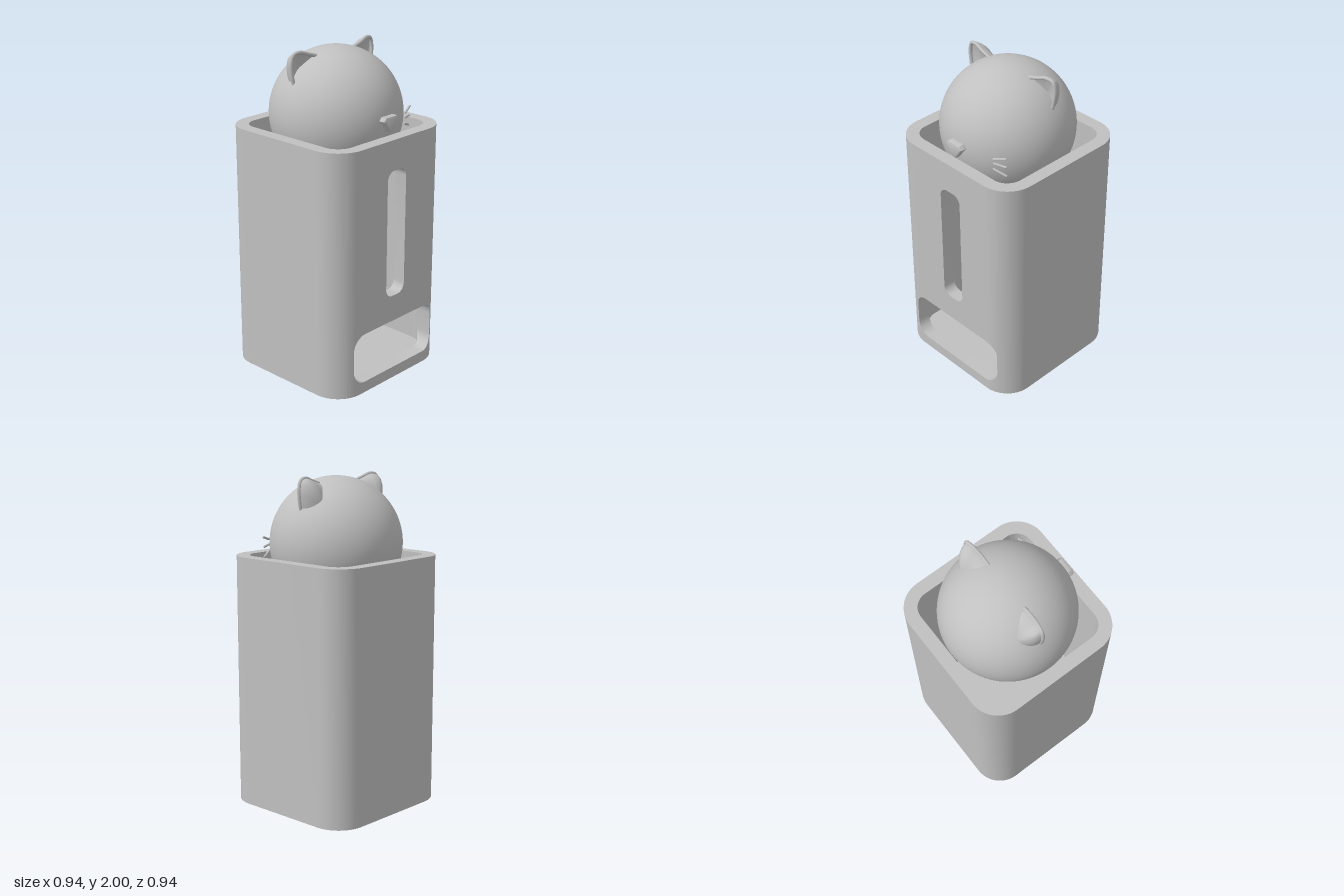
import * as THREE from 'three';
import { toCreasedNormals } from 'three/addons/utils/BufferGeometryUtils.js';

const H = 1.52, FLOOR = 0.07, CUT = 0.38;
const OUT = { half: 0.4725, r: 0.18 }, INN = { half: 0.393, r: 0.1 };
const HEAD = { y: 1.592, r: 0.397 };
const bin = { cx: 0.015, w: 0.71, y0: FLOOR, y1: 0.385, r: 0.09 };
const slot = { cx: 0.01, w: 0.16, y0: 0.55, y1: 1.335, r: 0.055 };

// Rounded square outline, open at the front between x = -cut and +cut
function outline({ half, r }, cut) {
  const c = half - r, a = Math.acos((cut - c) / r), pts = [];
  const corners = [[1, -1, -a, 0], [1, 1, 0, Math.PI / 2], [-1, 1, Math.PI / 2, Math.PI], [-1, -1, Math.PI, Math.PI + a]];
  for (const [sx, sy, a0, a1] of corners)
    for (let i = 0; i <= 12; i++) {
      const t = a0 + (a1 - a0) * i / 12;
      pts.push(new THREE.Vector2(sx * c + r * Math.cos(t), sy * c + r * Math.sin(t)));
    }
  return pts;
}

// Upright prism standing on y = 0
function prism(pts, height) {
  const g = new THREE.ExtrudeGeometry(new THREE.Shape(pts), { depth: height, bevelEnabled: false });
  return toCreasedNormals(g.rotateX(-Math.PI / 2), 0.5);
}

function depthAt(x, { half, r }) {
  const d = Math.abs(x) - (half - r);
  return d <= 0 ? half : half - r + Math.sqrt(r * r - d * d);
}

// Lower and upper edge of an opening at x
function gap(x, h) {
  const d = Math.min(h.r, Math.max(0, Math.abs(x - h.cx) - (h.w / 2 - h.r)));
  const inset = h.r - Math.sqrt(h.r * h.r - d * d);
  return [h.y0 + inset, h.y1 - inset];
}

function geometryFromQuads(quads) {
  const pos = [];
  for (const [a, b, c, d] of quads) pos.push(...a, ...b, ...c, ...a, ...c, ...d);
  const g = new THREE.BufferGeometry();
  g.setAttribute('position', new THREE.Float32BufferAttribute(pos, 3));
  return toCreasedNormals(g, 0.5);
}

// Front wall built in vertical strips around the two openings
function frontWall() {
  const o = (x, y) => [x, y, depthAt(x, OUT)], n = (x, y) => [x, y, depthAt(x, INN)];
  const quads = [], xs = [-CUT, CUT, 0];
  for (let x = 0.29; x < CUT; x += 0.01) xs.push(x, -x);
  for (const h of [bin, slot])
    for (let i = 0; i <= 8; i++) {
      const d = h.w / 2 - h.r + h.r * Math.sin(i / 8 * Math.PI / 2);
      xs.push(h.cx - d, h.cx + d);
    }
  xs.sort((a, b) => a - b);
  for (let i = 1; i < xs.length; i++) {
    const p = xs[i - 1], q = xs[i];
    if (q - p < 1e-6) continue;
    const edgesP = [0], edgesQ = [0];
    for (const h of [bin, slot])
      if (Math.abs((p + q) / 2 - h.cx) < h.w / 2) {
        edgesP.push(...gap(p, h));
        edgesQ.push(...gap(q, h));
      } else {
        const mid = (h.y0 + h.y1) / 2;
        edgesP.push(mid, mid);
        edgesQ.push(mid, mid);
      }
    edgesP.push(H);
    edgesQ.push(H);
    for (let k = 0; k < 6; k += 2) {
      const pl = edgesP[k], ph = edgesP[k + 1], ql = edgesQ[k], qh = edgesQ[k + 1];
      quads.push([o(p, pl), o(q, ql), o(q, qh), o(p, ph)], [n(q, ql), n(p, pl), n(p, ph), n(q, qh)]);
      if (k === 4 || edgesP[k + 2] > ph) quads.push([o(p, ph), o(q, qh), n(q, qh), n(p, ph)]);
      if (k === 0 || edgesP[k - 1] < pl) quads.push([n(p, pl), n(q, ql), o(q, ql), o(p, pl)]);
    }
  }
  // Upright sides of the openings
  for (const h of [bin, slot]) {
    const l = h.cx - h.w / 2, r = h.cx + h.w / 2, a = h.y0 + h.r, b = h.y1 - h.r;
    quads.push([o(l, a), n(l, a), n(l, b), o(l, b)], [n(r, a), o(r, a), o(r, b), n(r, b)]);
  }
  return geometryFromQuads(quads);
}

// Ear shell: outline shrinking to a centre, with a hollow front and a bulging back
function earParts() {
  const curve = new THREE.CatmullRomCurve3([[0.315, 1.78], [0.333, 1.86], [0.338, 1.93], [0.323, 1.977], [0.28, 1.988],
    [0.22, 1.97], [0.14, 1.945]].map(([x, y]) => new THREE.Vector3(x, y, -0.008 - 0.02 * Math.max(0, (x - 0.2) / 0.14))));
  const rim = curve.getPoints(36), quads = [];
  const at = (i, t, bulge) => {
    const p = rim[i], k = Math.cos(t * Math.PI / 2);
    return [0.2 + (p.x - 0.2) * k, 1.8 + (p.y - 1.8) * k, p.z - bulge * Math.sin(t * Math.PI / 2)];
  };
  for (let i = 0; i < 36; i++)
    for (let j = 0; j < 10; j++) {
      const t = j / 10, u = (j + 1) / 10;
      for (const bulge of [0.025, 0.11])
        quads.push([at(i, t, bulge), at(i + 1, t, bulge), at(i + 1, u, bulge), at(i, u, bulge)]);
    }
  return [geometryFromQuads(quads), new THREE.TubeGeometry(curve, 40, 0.011, 10)];
}

export function createModel() {
  const model = new THREE.Group();
  const grey = new THREE.MeshStandardMaterial({ color: 0xc0c0c0, side: THREE.DoubleSide });
  grey.name = 'plainGrey';
  const add = (name, geometry, parent = model) => {
    const m = new THREE.Mesh(geometry, grey);
    m.name = name;
    parent.add(m);
    return m;
  };

  // Container
  add('sideAndBackWalls', prism([...outline(OUT, CUT), ...outline(INN, CUT).reverse()], H));
  add('frontWall', frontWall());
  add('floor', prism(outline(INN, INN.half - INN.r), FLOOR));

  // Head, cut flat underneath
  const cutY = 1.38, theta = Math.acos((cutY - HEAD.y) / HEAD.r);
  add('head', new THREE.SphereGeometry(HEAD.r, 80, 48, 0, Math.PI * 2, 0, theta)).position.y = HEAD.y;
  const base = add('headBase', new THREE.CircleGeometry(HEAD.r * Math.sin(theta), 80));
  base.rotation.x = Math.PI / 2;
  base.position.y = cutY;

  // Ears
  const [shell, rim] = earParts();
  for (const side of [1, -1]) {
    const ear = new THREE.Group();
    ear.name = side > 0 ? 'leftEar' : 'rightEar';
    add('earShell', shell, ear);
    add('earRim', rim, ear);
    ear.scale.x = side;
    model.add(ear);
  }

  // Nose
  const tri = new THREE.Shape();
  tri.moveTo(-0.036, 1.632);
  tri.lineTo(-0.046, 1.62);
  tri.lineTo(-0.002, 1.56);
  tri.lineTo(0.012, 1.56);
  tri.lineTo(0.056, 1.62);
  tri.lineTo(0.046, 1.632);
  const nose = new THREE.ExtrudeGeometry(tri, { depth: 0.05, bevelThickness: 0.01, bevelSize: 0.01, bevelSegments: 4 });
  add('nose', toCreasedNormals(nose, 0.6)).position.z = 0.37;

  // Whiskers on the left cheek
  const whiskers = [[0.232, 1.603, 0.338, 0.3, 1.623, 0.312], [0.232, 1.573, 0.335, 0.298, 1.566, 0.308],
    [0.23, 1.535, 0.335, 0.298, 1.508, 0.305]];
  for (const [ax, ay, az, bx, by, bz] of whiskers) {
    const a = new THREE.Vector3(ax, ay, az), b = new THREE.Vector3(bx, by, bz), d = b.clone().sub(a);
    const w = add('whisker', new THREE.CapsuleGeometry(0.007, d.length(), 6, 12));
    w.position.copy(a).add(b).multiplyScalar(0.5);
    w.quaternion.setFromUnitVectors(new THREE.Vector3(0, 1, 0), d.normalize());
  }
  return model;
}
